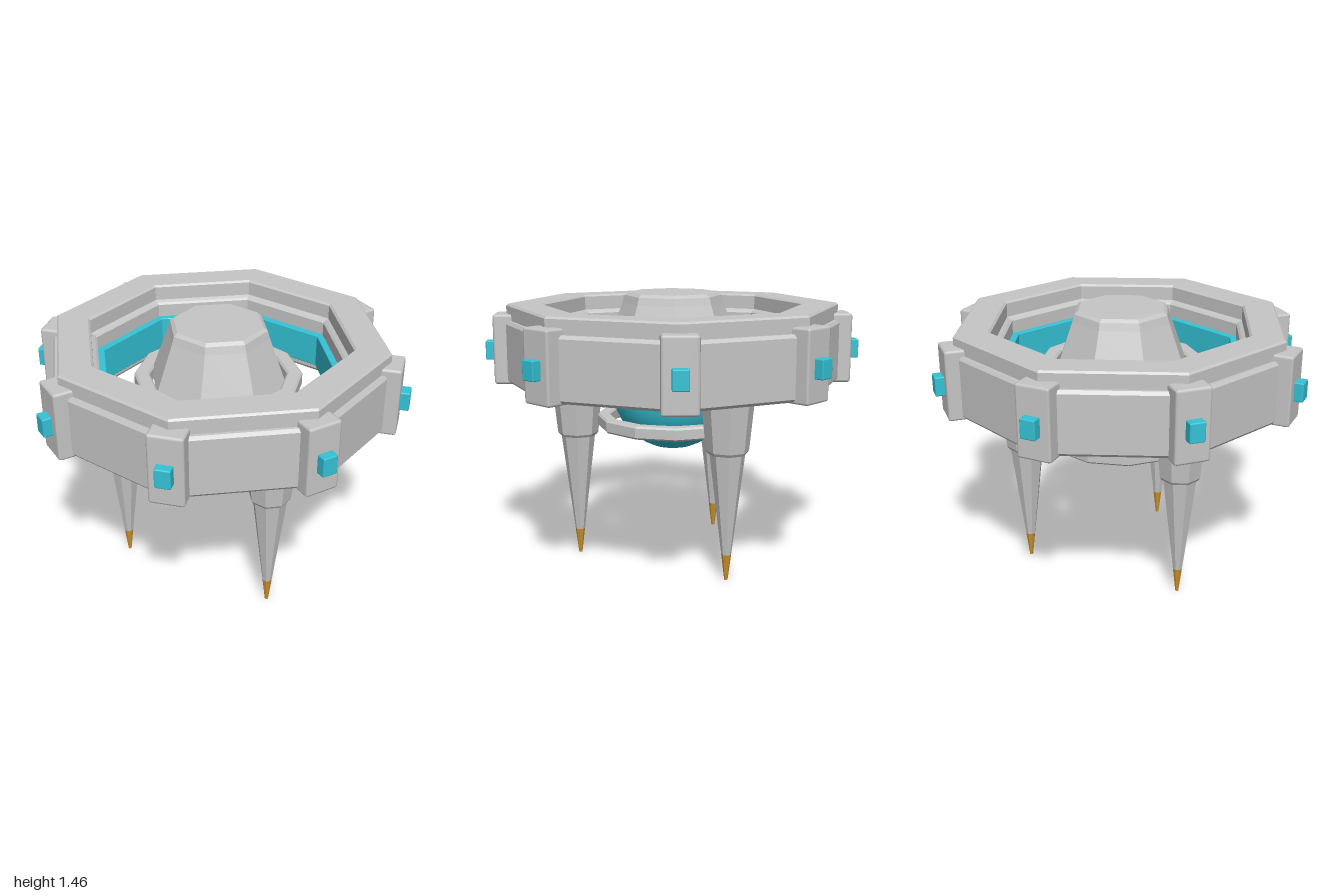
import * as THREE from 'three';
import { RoundedBoxGeometry } from 'three/addons/geometries/RoundedBoxGeometry.js';

const mat = (name, color) => Object.assign(new THREE.MeshStandardMaterial({ color }), { name });

// Faceted solid of revolution; profile runs counter-clockwise as [radius, y]
function facetedLathe(profile, sides) {
  const pts = profile.map(([r, y]) => new THREE.Vector2(r, y));
  const geo = new THREE.LatheGeometry(pts, sides).toNonIndexed();
  geo.computeVertexNormals();
  return geo;
}

// Closed rectangular ring section with chamfered corners
function ringProfile(inner, outer, y0, y1, b) {
  return [
    [inner + b, y0], [outer - b, y0], [outer, y0 + b], [outer, y1 - b],
    [outer - b, y1], [inner + b, y1], [inner, y1 - b], [inner, y0 + b], [inner + b, y0],
  ];
}

export function createModel() {
  const root = new THREE.Group();
  root.name = 'ringStation';
  const hull = mat('light grey hull', 0xc6c6c6);
  const glow = mat('teal glow', 0x34c3d6);
  const brass = mat('brass tip', 0xc8922c);

  const add = (parent, name, geo, material, x = 0, y = 0, z = 0) => {
    const mesh = new THREE.Mesh(geo, material);
    mesh.name = name;
    mesh.position.set(x, y, z);
    parent.add(mesh);
    return mesh;
  };

  // Stepped octagonal outer ring
  add(root, 'outerRing', facetedLathe([
    [0.68, 0.985], [0.905, 0.985], [0.918, 1.0], [0.918, 1.295], [0.905, 1.312],
    [0.888, 1.312], [0.888, 1.385], [0.878, 1.395], [0.712, 1.395], [0.70, 1.385],
    [0.70, 1.31], [0.68, 1.30], [0.668, 1.29], [0.668, 1.0], [0.68, 0.985],
  ], 8), hull);

  // Glowing band lining the inside of the ring
  add(root, 'innerBand', facetedLathe(ringProfile(0.63, 0.675, 1.04, 1.22, 0.003), 8), glow);

  // Clamps and lamps on the eight ring corners
  const clampGeo = new RoundedBoxGeometry(0.18, 0.37, 0.23, 1, 0.014);
  const lampGeo = new RoundedBoxGeometry(0.08, 0.10, 0.07, 1, 0.006);
  for (let i = 0; i < 8; i++) {
    const corner = new THREE.Group();
    corner.name = 'ringCorner';
    corner.rotation.y = i * Math.PI / 4;
    add(corner, 'clamp', clampGeo, hull, 0, 1.16, 0.837);
    add(corner, 'lamp', lampGeo, glow, 0, 1.15, 0.965);
    root.add(corner);
  }

  // Central core with cap and two collars
  add(root, 'coreSphere', new THREE.SphereGeometry(0.33, 28, 18), glow, 0, 0.935, 0);
  add(root, 'coreCap', facetedLathe([
    [0, 1.12], [0.35, 1.12], [0.365, 1.14], [0.27, 1.40], [0.258, 1.44], [0.238, 1.455], [0, 1.455],
  ], 8), hull);
  add(root, 'upperCollar', facetedLathe(ringProfile(0.36, 0.442, 1.09, 1.17, 0.01), 12), hull);
  add(root, 'lowerCollar', facetedLathe(ringProfile(0.345, 0.415, 0.73, 0.80, 0.01), 12), hull);

  // Three tapered legs
  const headGeo = facetedLathe([
    [0, 0.68], [0.10, 0.68], [0.11, 0.695], [0.134, 0.94], [0.126, 0.95], [0, 0.95],
  ], 8);
  const shaftGeo = facetedLathe([[0, 0.14], [0.026, 0.14], [0.093, 0.69], [0, 0.69]], 8);
  const tipGeo = facetedLathe([[0, 0], [0.009, 0], [0.026, 0.14], [0, 0.14]], 8);
  for (let i = 0; i < 3; i++) {
    const a = i * Math.PI * 2 / 3;
    const leg = new THREE.Group();
    leg.name = 'leg';
    leg.position.set(Math.sin(a) * 0.52, 0, Math.cos(a) * 0.52);
    add(leg, 'legHead', headGeo, hull);
    add(leg, 'legShaft', shaftGeo, hull);
    add(leg, 'legTip', tipGeo, brass);
    root.add(leg);
  }
  return root;
}
